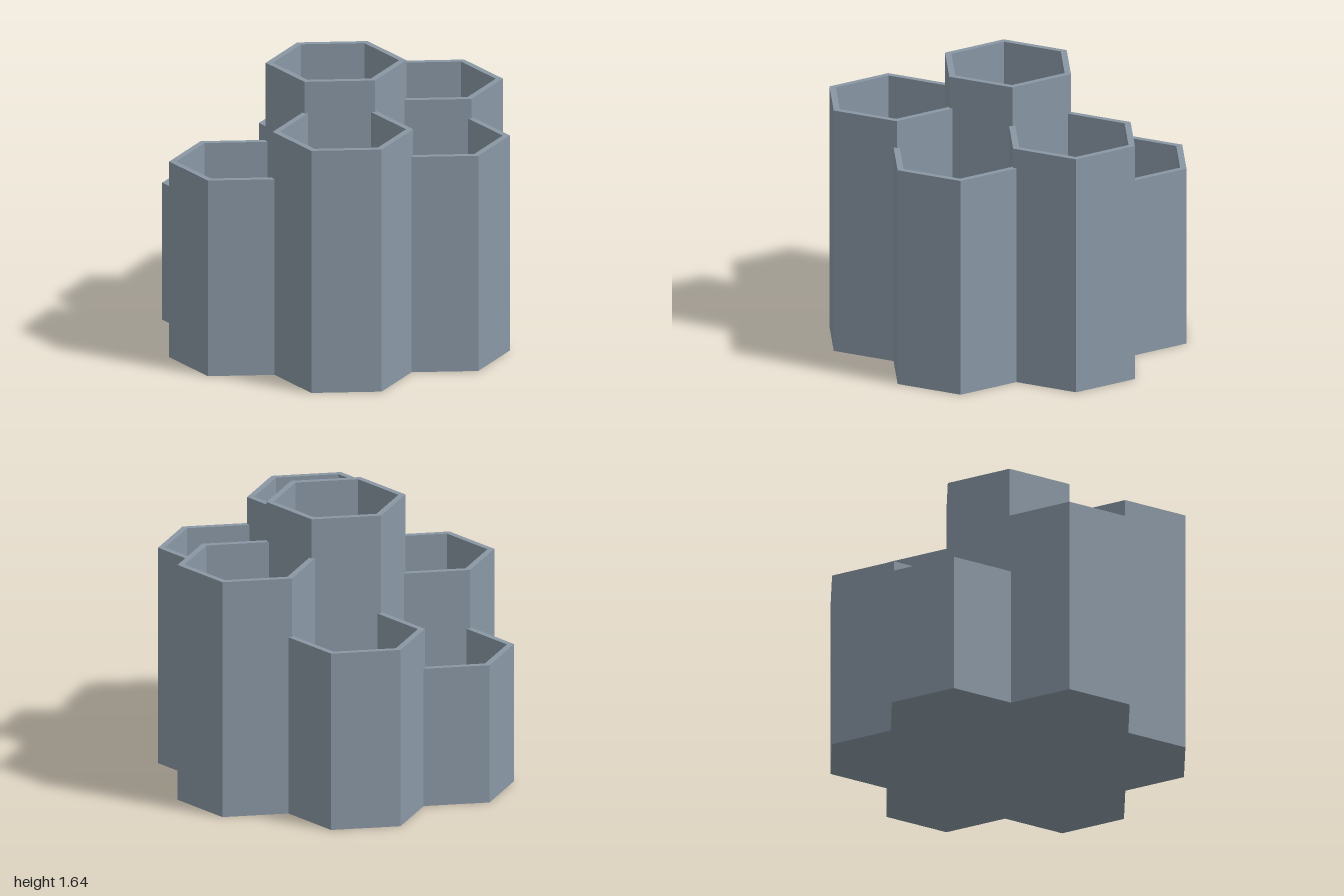
import * as THREE from 'three';

const SPACING = 0.655;                            // distance between neighbouring cell centres
const WALL = 0.035;
const FLOOR = 0.035;
const OUTER = (SPACING + WALL) / 2 / Math.cos(Math.PI / 6);
const INNER = (SPACING - WALL) / 2 / Math.cos(Math.PI / 6);

// Open hexagonal tube with a solid floor, corners pointing along z
function hexCup(height) {
  const profile = [
    [0, 0], [OUTER, 0], [OUTER, height],
    [INNER, height], [INNER, FLOOR], [0, FLOOR],
  ].map(([r, y]) => new THREE.Vector2(r, y));
  const geometry = new THREE.LatheGeometry(profile, 6).toNonIndexed();
  geometry.computeVertexNormals();                // one normal per face keeps the edges hard
  return geometry;
}

export function createModel() {
  const group = new THREE.Group();
  group.name = 'hexagonalOrganizer';

  const slate = new THREE.MeshStandardMaterial({ color: 0x8a98a5 });
  slate.name = 'slateGrey';

  const addCup = (name, height, x, z) => {
    const cup = new THREE.Mesh(hexCup(height), slate);
    cup.name = name;
    cup.position.set(x, 0, z);
    group.add(cup);
  };

  // Tall cup in the middle
  addCup('centreCup', 1.637, 0, 0);

  // Ring of six cups, 60 degrees apart, starting at +x and turning towards +z
  const ring = [
    ['leftCup', 1.403],
    ['frontLeftCup', 1.287],
    ['frontRightCup', 1.448],
    ['rightCup', 1.17],
    ['backRightCup', 0.82],
    ['backLeftCup', 1.053],
  ];
  ring.forEach(([name, height], i) => {
    const angle = (i * Math.PI) / 3;
    addCup(name, height, SPACING * Math.cos(angle), SPACING * Math.sin(angle));
  });

  return group;
}
